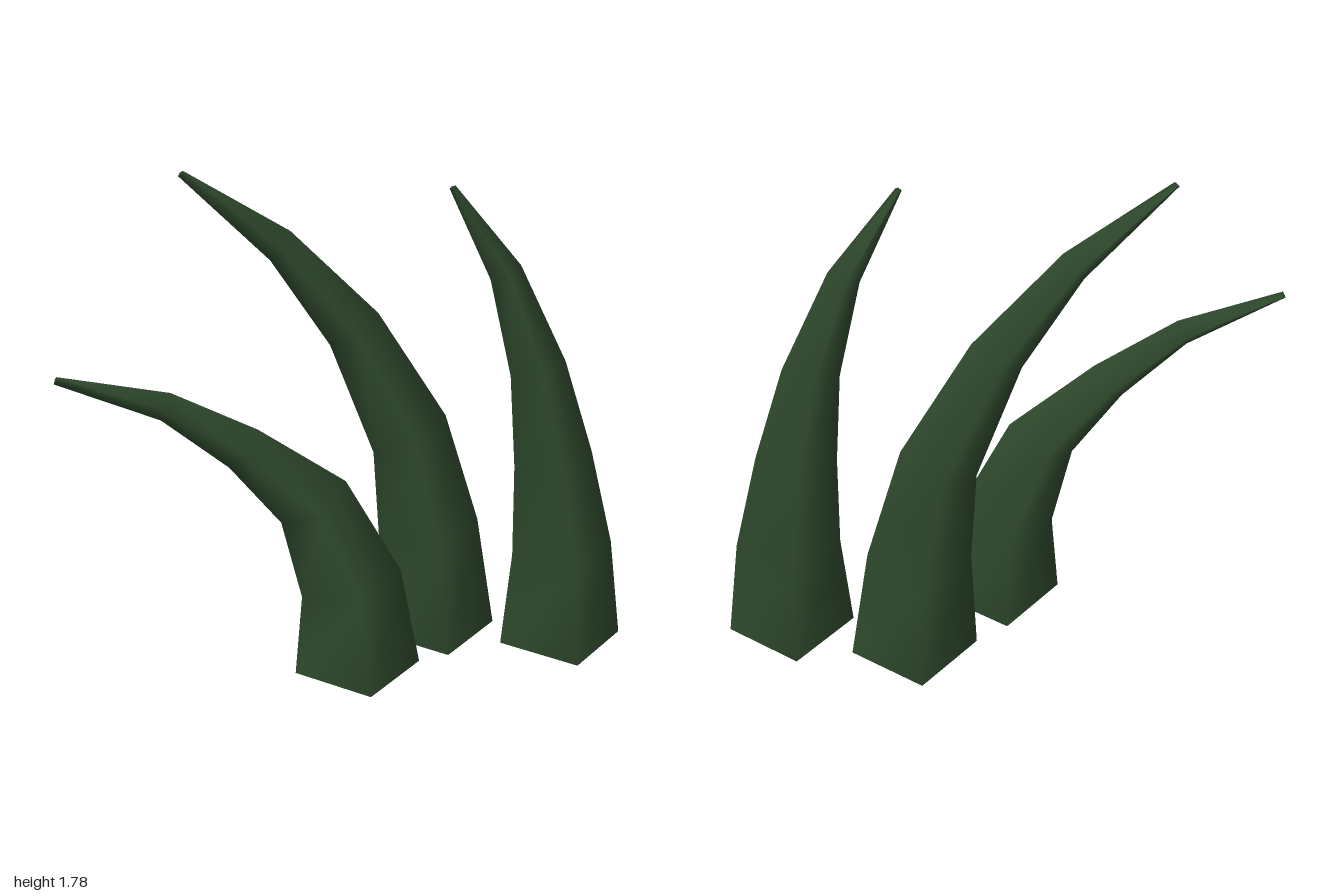
import * as THREE from 'three';

const material = new THREE.MeshStandardMaterial({ color: 0x2f4a2d });

// Each section is [leftX, leftY, rightX, rightY]; its four-sided ring is as deep as it is wide.
function createHorn(name, z, sections) {
  const positions = [];
  const index = [];
  const addRing = ([lx, ly, rx, ry]) => {
    const half = Math.hypot(rx - lx, ry - ly) / 2;
    const mx = (lx + rx) / 2, my = (ly + ry) / 2;
    positions.push(rx, ry, z, mx, my, z + half, lx, ly, z, mx, my, z - half);
  };

  // Smooth curved sides
  sections.forEach(addRing);
  for (let i = 0; i < sections.length - 1; i++) {
    for (let k = 0; k < 4; k++) {
      const a = i * 4 + k, b = i * 4 + (k + 1) % 4;
      index.push(a, a + 4, b, b, a + 4, b + 4);
    }
  }

  // Flat base and blunt tip with their own vertices, so their edges stay sharp
  const n = sections.length * 4;
  addRing(sections[0]);
  addRing(sections[sections.length - 1]);
  index.push(n, n + 1, n + 2, n, n + 2, n + 3);
  index.push(n + 4, n + 6, n + 5, n + 4, n + 7, n + 6);

  const geometry = new THREE.BufferGeometry();
  geometry.setAttribute('position', new THREE.Float32BufferAttribute(positions, 3));
  geometry.setIndex(index);
  geometry.computeVertexNormals();
  const mesh = new THREE.Mesh(geometry, material);
  mesh.name = name;
  return mesh;
}

export function createModel() {
  const group = new THREE.Group();
  group.name = 'curvedHorns';
  group.add(
    // Short, strongly bent horn
    createHorn('rightHorn', 0.133, [
      [-0.21, 0.015, 0.235, 0.015],
      [-0.185, 0.31, 0.165, 0.38],
      [-0.255, 0.6, -0.03, 0.735],
      [-0.43, 0.82, -0.33, 0.95],
      [-0.655, 1.01, -0.62, 1.105],
      [-1, 1.165, -0.99, 1.19],
    ]),
    // Tallest horn
    createHorn('middleHorn', -0.138, [
      [0.13, 0, 0.577, 0],
      [0.147, 0.38, 0.51, 0.42],
      [0.125, 0.715, 0.385, 0.835],
      [-0.03, 1.13, 0.14, 1.235],
      [-0.235, 1.45, -0.165, 1.55],
      [-0.54, 1.763, -0.523, 1.78],
    ]),
    // Most upright horn
    createHorn('leftHorn', 0.05, [
      [0.555, 0.01, 1, 0.01],
      [0.59, 0.36, 0.955, 0.375],
      [0.588, 0.7, 0.868, 0.735],
      [0.565, 1.04, 0.76, 1.08],
      [0.485, 1.395, 0.59, 1.44],
      [0.337, 1.722, 0.357, 1.732],
    ]),
  );
  return group;
}
